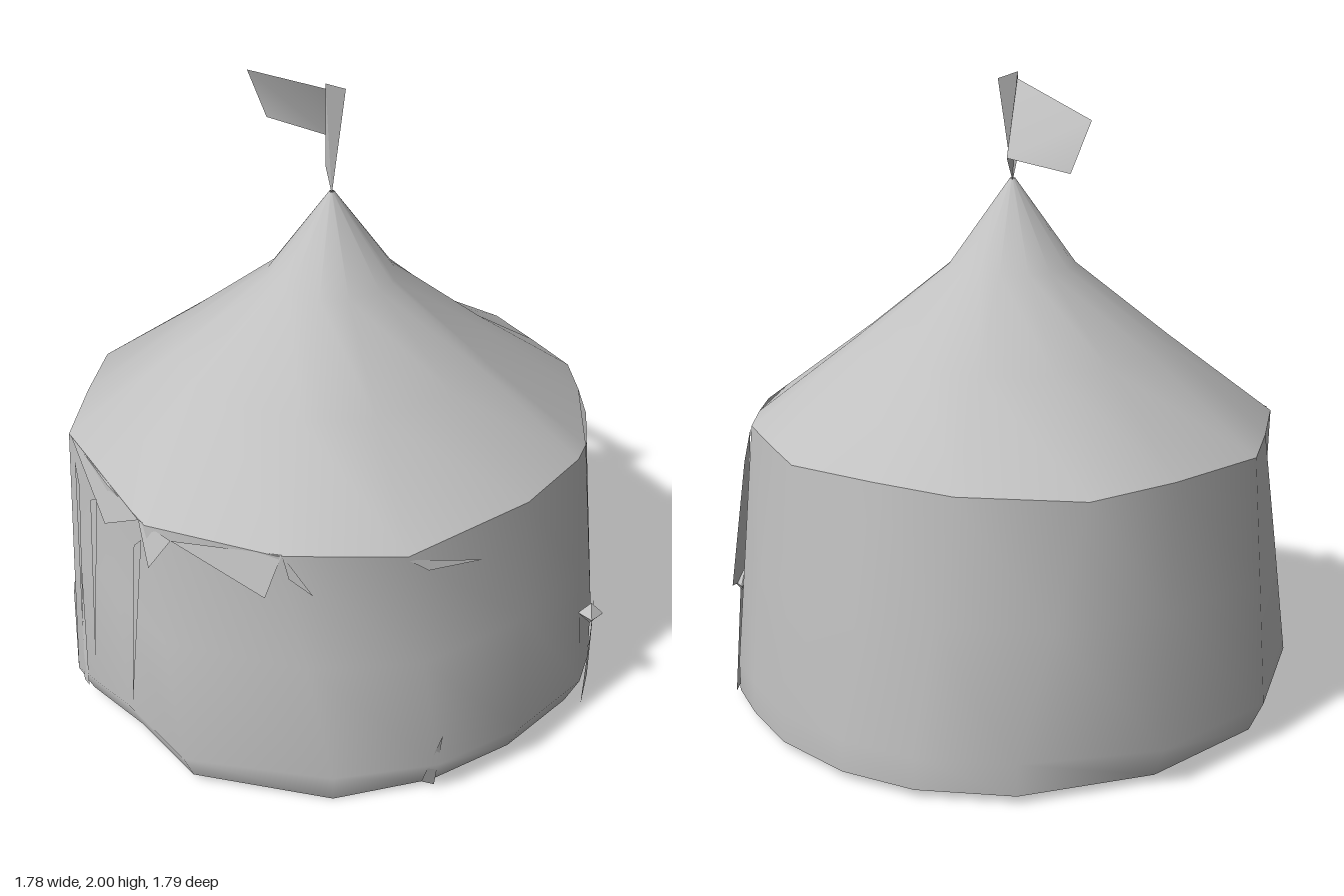
import * as THREE from 'three';

const canvas = new THREE.MeshStandardMaterial({ color: 0xc0c0c0, side: THREE.DoubleSide });
canvas.name = 'canvas grey';

// Tent outline, from the front door post round to the back one:
// ground x, ground z, eave x, eave z
const columns = [
  [0.86, 0.29, 0.80, 0.22], [0.82, 0.42, 0.77, 0.30], [0.61, 0.65, 0.60, 0.53],
  [0.35, 0.82, 0.24, 0.80], [0.03, 0.89, -0.13, 0.80], [-0.43, 0.82, -0.53, 0.66],
  [-0.63, 0.58, -0.67, 0.45], [-0.82, 0.40, -0.83, 0.17], [-0.90, 0.00, -0.81, -0.10],
  [-0.83, -0.42, -0.78, -0.34], [-0.54, -0.76, -0.55, -0.60], [-0.13, -0.90, -0.32, -0.80],
  [0.17, -0.90, 0.06, -0.81], [0.40, -0.82, 0.31, -0.73], [0.62, -0.66, 0.57, -0.63],
  [0.76, -0.48, 0.68, -0.46], [0.85, -0.33, 0.79, -0.28], [0.86, -0.12, 0.81, -0.12],
];

function mesh(name, geometry) {
  const m = new THREE.Mesh(geometry, canvas);
  m.name = name;
  return m;
}

// Skin over rows of points, all of the same length
function loft(name, rows, closed = false) {
  const n = rows[0].length;
  const index = [];
  for (let r = 0; r < rows.length - 1; r++) {
    for (let i = 0; i < (closed ? n : n - 1); i++) {
      const j = (i + 1) % n;
      const a = r * n + i, b = r * n + j, c = a + n, d = b + n;
      index.push(a, c, b, b, c, d);
    }
  }
  const g = new THREE.BufferGeometry();
  g.setAttribute('position', new THREE.Float32BufferAttribute(rows.flat(2), 3));
  g.setIndex(index);
  g.computeVertexNormals();
  return mesh(name, g);
}

// Flat fan of cloth through a few corners
function cloth(name, pts) {
  const pos = [];
  for (let i = 1; i < pts.length - 1; i++) pos.push(...pts[0], ...pts[i], ...pts[i + 1]);
  const g = new THREE.BufferGeometry();
  g.setAttribute('position', new THREE.Float32BufferAttribute(pos, 3));
  g.computeVertexNormals();
  return mesh(name, g);
}

export function createModel() {
  const tent = new THREE.Group();
  tent.name = 'tent';

  // Round wall, tucked in slightly at the ground; the eave rises a little by the door
  const foot = columns.map(([x, z], i) => {
    const tuck = i > 10 ? 1 : 0.95;
    return [x * tuck, i === 4 ? 0.005 : 0.03, z * tuck];
  });
  const skirt = columns.map(([x, z]) => [x, 0.13, z]);
  const waist = columns.map(([x, z, u, w]) => [x * 0.5 + u * 0.5, 0.52, z * 0.5 + w * 0.5]);
  const eave = columns.map(([, , u, w]) => [u, 0.895 + 0.025 * Math.max(0, u), w]);
  // the wall edge follows the doorway slope
  waist[0] = [0.85, 0.36, 0.30];
  waist[17] = [0.85, 0.36, -0.18];
  tent.add(loft('wall', [eave, waist, skirt, foot]));

  // Wall above the doorway, with its turned-in edges
  const outer = [[0.85, 0.36, 0.30], [0.82, 0.73, 0.02], [0.85, 0.36, -0.20]];
  const inner = [[0.80, 0.04, 0.27], [0.80, 0.35, 0.29], [0.78, 0.65, 0.04],
    [0.80, 0.36, -0.14], [0.80, 0.04, -0.10]];
  tent.add(loft('doorLintel', [[eave[0], [0.82, 0.915, 0.03], eave[17]], outer]));
  tent.add(cloth('frontDoorEdge', [outer[0], outer[1], inner[2], inner[1]]));
  tent.add(cloth('backDoorEdge', [outer[1], outer[2], inner[3], inner[2]]));
  tent.add(cloth('frontDoorJamb', [foot[0], outer[0], inner[1], inner[0]]));
  tent.add(cloth('backDoorJamb', [foot[17], outer[2], inner[3], inner[4]]));
  tent.add(cloth('doorPeak', [[0.82, 0.88, -0.03], [0.835, 0.75, 0.02], [0.83, 0.77, -0.11]]));

  // Tied-back door curtains: a gathered knot and a hanging flap on each side
  const curtains = [
    ['front', 0.38, [[0.85, 0.38, 0.37], [0.86, 0.36, 0.29], [0.865, 0.04, 0.28], [0.83, 0.03, 0.42]]],
    ['back', -0.26, [[0.86, 0.38, -0.24], [0.85, 0.36, -0.14], [0.87, 0.04, -0.10], [0.86, 0.03, -0.34]]],
  ];
  for (const [side, z, flap] of curtains) {
    const knot = mesh(side + 'CurtainKnot', new THREE.OctahedronGeometry(0.04));
    knot.position.set(0.84, 0.38, z);
    tent.add(knot);
    tent.add(cloth(side + 'Curtain', flap));
  }
  // Vertical fold beside the doorway
  tent.add(cloth('wallFold', [[0.80, 0.9, -0.26], [0.815, 0.8, -0.29],
    [0.87, 0.38, -0.30], [0.84, 0.38, -0.24]]));

  // Peaked roof that flares out to the eaves, sagging in one panel at the back
  const ring = (r, y, sag = 0) => eave.map(([x, , z], i) => {
    const l = Math.hypot(x, z);
    return [x / l * r, y - (i === 14 || i === 15 ? sag : 0), z / l * r];
  });
  tent.add(loft('roof', [ring(0.008, 1.67), ring(0.20, 1.4), ring(0.5, 1.16, 0.03), eave], true));

  // Small loose points of cloth under the eaves
  const points = [
    [[-0.82, 0.9, 0.19], [-0.68, 0.77, 0.48], [-0.55, 0.9, 0.64]],
    [[-0.55, 0.9, 0.64], [-0.52, 0.77, 0.70], [-0.45, 0.87, 0.70]],
    [[-0.45, 0.87, 0.70], [-0.17, 0.76, 0.82], [-0.12, 0.9, 0.80]],
    [[-0.12, 0.9, 0.80], [-0.10, 0.83, 0.82], [-0.03, 0.77, 0.82]],
    [[0.24, 0.89, 0.80], [0.30, 0.84, 0.78], [0.46, 0.80, 0.67]],
  ];
  points.forEach((p) => tent.add(cloth('eavePoint', p)));

  // Pleats lying against the wall
  const pleats = [
    [[-0.80, 0.85, 0.26], [-0.78, 0.80, 0.32], [-0.80, 0.10, 0.42], [-0.78, 0.10, 0.45]],
    [[-0.71, 0.82, 0.42], [-0.74, 0.78, 0.37], [-0.75, 0.20, 0.47]],
    [[-0.54, 0.85, 0.67], [-0.57, 0.80, 0.63], [-0.61, 0.18, 0.62]],
    [[0.36, 0.25, 0.82], [0.30, 0.06, 0.82], [0.34, 0.03, 0.80]],
  ];
  pleats.forEach((p) => tent.add(cloth('wallPleat', p)));

  // Ground sheet: short of the wall at the back, with a wedge left open inside the doorway
  const sheet = foot.slice(0, 17).map(([x, , z], i) => {
    const inset = i > 11 && i < 16 ? 0.9 : 1;
    return [x * inset, z * inset];
  });
  sheet.push([0.17, -0.15]);
  const floor = mesh('groundSheet', new THREE.ShapeGeometry(
    new THREE.Shape(sheet.map(([x, z]) => new THREE.Vector2(x, z)))));
  floor.rotation.x = Math.PI / 2;
  floor.position.y = 0.035;
  tent.add(floor);

  // Thin pole and bent flag at the peak
  const base = [0, 1.66, 0], top = [-0.02, 2, -0.03], bend = [-0.01, 1.76, -0.21];
  tent.add(cloth('flagPole', [base, [0.04, 1.98, -0.04], top, [-0.02, 1.75, -0.01]]));
  tent.add(cloth('flagGusset', [base, bend, top]));
  tent.add(loft('flag', [[[-0.02, 1.98, -0.04], [-0.28, 1.9, -0.41]], [bend, [-0.22, 1.745, -0.40]]]));

  return tent;
}
